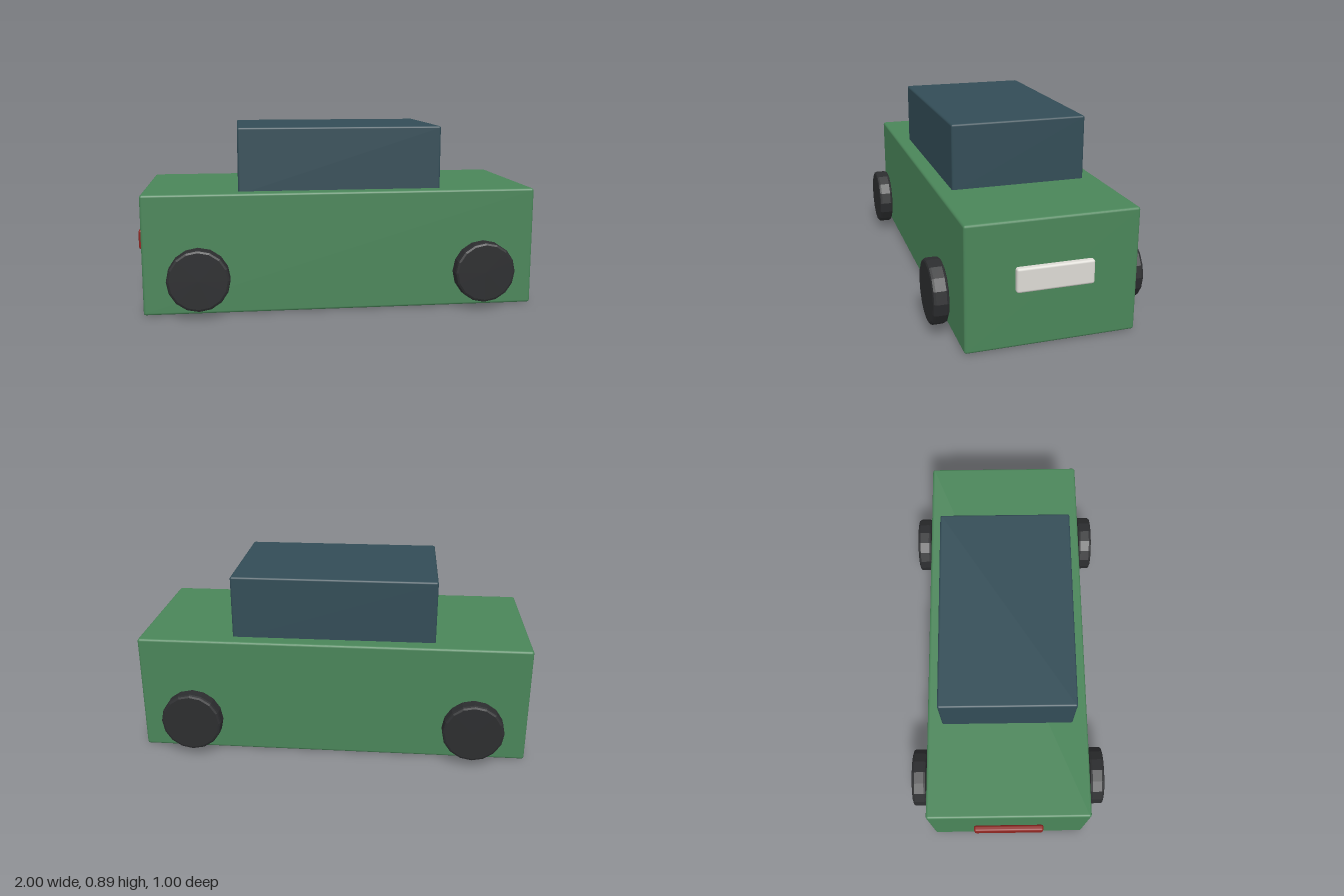
import * as THREE from 'three';
import { RoundedBoxGeometry } from 'three/addons/geometries/RoundedBoxGeometry.js';

const paint = (color, flatShading = false) => new THREE.MeshStandardMaterial({ color, flatShading });

// Box with softened edges, placed by its centre
function softBox(name, [w, h, d], [x, y, z], radius, material) {
  const mesh = new THREE.Mesh(new RoundedBoxGeometry(w, h, d, 2, radius), material);
  mesh.name = name;
  mesh.position.set(x, y, z);
  return mesh;
}

// Sixteen-sided disc with bevelled rims, axis along z
function wheelGeometry(radius, width, bevel) {
  const h = width / 2;
  const profile = [
    [0, -h], [radius - bevel, -h], [radius - bevel * 0.3, -h + bevel * 0.3], [radius, -h + bevel],
    [radius, h - bevel], [radius - bevel * 0.3, h - bevel * 0.3], [radius - bevel, h], [0, h],
  ].map(([r, y]) => new THREE.Vector2(r, y));
  return new THREE.LatheGeometry(profile, 16).rotateX(Math.PI / 2);
}

export function createModel() {
  const car = new THREE.Group();
  car.name = 'car';

  // Body and cabin
  car.add(
    softBox('body', [1.924, 0.585, 0.794], [0, 0.2925, 0], 0.012, paint(0x4a8559)),
    softBox('cabin', [1.0, 0.33, 0.65], [0, 0.728, 0], 0.01, paint(0x324c56)),
  );

  // Lamps at the two ends
  car.add(
    softBox('headlamp', [0.034, 0.112, 0.354], [0.983, 0.327, 0], 0.011, paint(0xdcdad4)),
    softBox('tailLamp', [0.03, 0.098, 0.35], [-0.985, 0.327, 0], 0.011, paint(0x8f2722)),
  );

  // Four wheels standing just clear of the sides
  const tyre = wheelGeometry(0.15, 0.074, 0.013);
  const rubber = paint(0x2c2d2f, true);
  for (const x of [-0.693, 0.693]) {
    for (const z of [-0.463, 0.463]) {
      const wheel = new THREE.Mesh(tyre, rubber);
      wheel.name = `${x > 0 ? 'front' : 'rear'}Wheel${z > 0 ? 'Near' : 'Far'}`;
      wheel.position.set(x, 0.188, z);
      car.add(wheel);
    }
  }
  return car;
}
